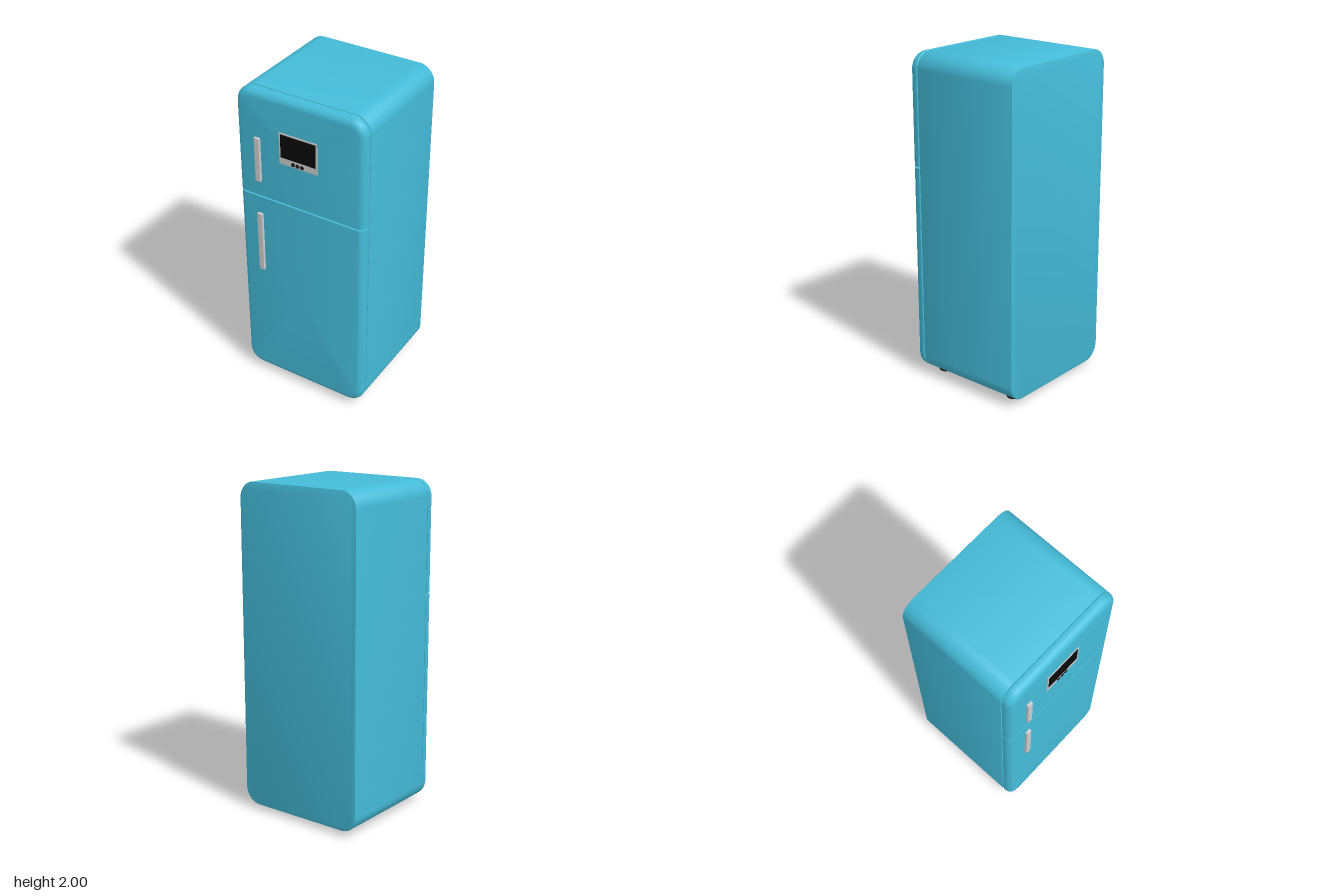
import * as THREE from 'three';
import { toCreasedNormals } from 'three/addons/utils/BufferGeometryUtils.js';
import { RoundedBoxGeometry } from 'three/addons/geometries/RoundedBoxGeometry.js';

const W = 0.415, BOTTOM = 0.03, TOP = 2, R = 0.1;
const mat = (color) => new THREE.MeshStandardMaterial({ color });
const blue = mat(0x45bcd9), grey = mat(0xcccccc), black = mat(0x0a0a0a), dark = mat(0x222222);

function add(parent, name, geometry, material, x = 0, y = 0, z = 0) {
  const mesh = new THREE.Mesh(geometry, material);
  mesh.name = name;
  mesh.position.set(x, y, z);
  parent.add(mesh);
  return mesh;
}

// Cabinet: rounded rectangle extruded front to back with a tiny edge bevel
function cabinetGeometry(back, front) {
  const b = 0.004, w = W - b, y0 = BOTTOM + b, y1 = TOP - b, r = R - b;
  const s = new THREE.Shape();
  s.absarc(w - r, y0 + r, r, -Math.PI / 2, 0);
  s.absarc(w - r, y1 - r, r, 0, Math.PI / 2);
  s.absarc(-w + r, y1 - r, r, Math.PI / 2, Math.PI);
  s.absarc(-w + r, y0 + r, r, Math.PI, Math.PI * 1.5);
  s.closePath();
  const g = new THREE.ExtrudeGeometry(s, {
    depth: front - back - 2 * b, bevelThickness: b, bevelSize: b, bevelSegments: 2, curveSegments: 14,
  });
  g.translate(0, 0, back + b);
  return toCreasedNormals(g, 0.6);
}

// Door outline: square at the seam, rounded at the far end, inset on its outer edges only
function doorOutline(seam, end, inset) {
  const dir = Math.sign(end - seam), r = R - inset, w = W - inset, y = end - dir * inset;
  const pts = [[w, seam]];
  for (const side of [1, -1]) {
    for (let i = 0; i <= 14; i++) {
      const a = (side > 0 ? i / 14 : 1 - i / 14) * Math.PI / 2;
      pts.push([side * (w - r + r * Math.cos(a)), y + dir * r * (Math.sin(a) - 1)]);
    }
  }
  pts.push([-w, seam]);
  return dir > 0 ? pts : pts.reverse();
}

// Door: stacked outlines joined by walls, with a rounded front rim
function doorGeometry(seam, end, back, front) {
  const bevel = 0.045, steps = 8, rings = [], pos = [];
  const ring = (inset, z) => rings.push(doorOutline(seam, end, inset).map(([x, y]) => [x, y, z]));
  ring(0.003, back);
  ring(0, back + 0.003);
  for (let i = 0; i <= steps; i++) {
    const a = (i / steps) * Math.PI / 2;
    ring(bevel * (1 - Math.cos(a)), front - bevel * (1 - Math.sin(a)));
  }
  const n = rings[0].length, last = rings.length - 1, mid = (seam + end) / 2;
  for (let k = 0; k < n; k++) {
    const m = (k + 1) % n;
    for (let j = 0; j < last; j++) {
      const a = rings[j][k], b = rings[j][m], c = rings[j + 1][m], d = rings[j + 1][k];
      pos.push(...a, ...b, ...c, ...a, ...c, ...d);
    }
    pos.push(...rings[last][k], ...rings[last][m], 0, mid, front);
    pos.push(...rings[0][m], ...rings[0][k], 0, mid, back);
  }
  const g = new THREE.BufferGeometry();
  g.setAttribute('position', new THREE.Float32BufferAttribute(pos, 3));
  return toCreasedNormals(g, 0.6);
}

export function createModel() {
  const model = new THREE.Group();
  model.name = 'refrigerator';

  add(model, 'cabinet', cabinetGeometry(-0.39, 0.307), blue);
  add(model, 'freezerDoor', doorGeometry(1.331, TOP, 0.312, 0.373), blue);
  add(model, 'fridgeDoor', doorGeometry(1.321, BOTTOM, 0.312, 0.373), blue);

  // Bar handles
  for (const [name, y0, y1] of [['freezerHandle', 1.43, 1.712], ['fridgeHandle', 0.81, 1.21]]) {
    add(model, name, new RoundedBoxGeometry(0.035, y1 - y0, 0.02, 2, 0.003), grey, -0.27, (y0 + y1) / 2, 0.379);
  }

  // Control panel with screen and three buttons
  const panel = new THREE.Group();
  panel.name = 'controlPanel';
  model.add(panel);
  add(panel, 'panelFrame', new THREE.BoxGeometry(0.246, 0.195, 0.008), grey, -0.002, 1.692, 0.373);
  add(panel, 'screen', new THREE.BoxGeometry(0.228, 0.145, 0.004), black, -0.002, 1.708, 0.376);
  const button = new THREE.CylinderGeometry(0.011, 0.013, 0.012, 20).rotateX(Math.PI / 2);
  for (const x of [-0.034, -0.005, 0.024]) add(panel, 'button', button, dark, x, 1.612, 0.376);

  // Rounded feet
  const foot = new THREE.LatheGeometry(
    [[0, 0], [0.03, 0], [0.037, 0.004], [0.041, 0.012], [0.041, 0.034], [0, 0.034]]
      .map(([x, y]) => new THREE.Vector2(x, y)), 28);
  for (const x of [-0.268, 0.293]) {
    for (const z of [0.246, -0.3]) add(model, 'foot', foot, dark, x, 0, z);
  }
  return model;
}
